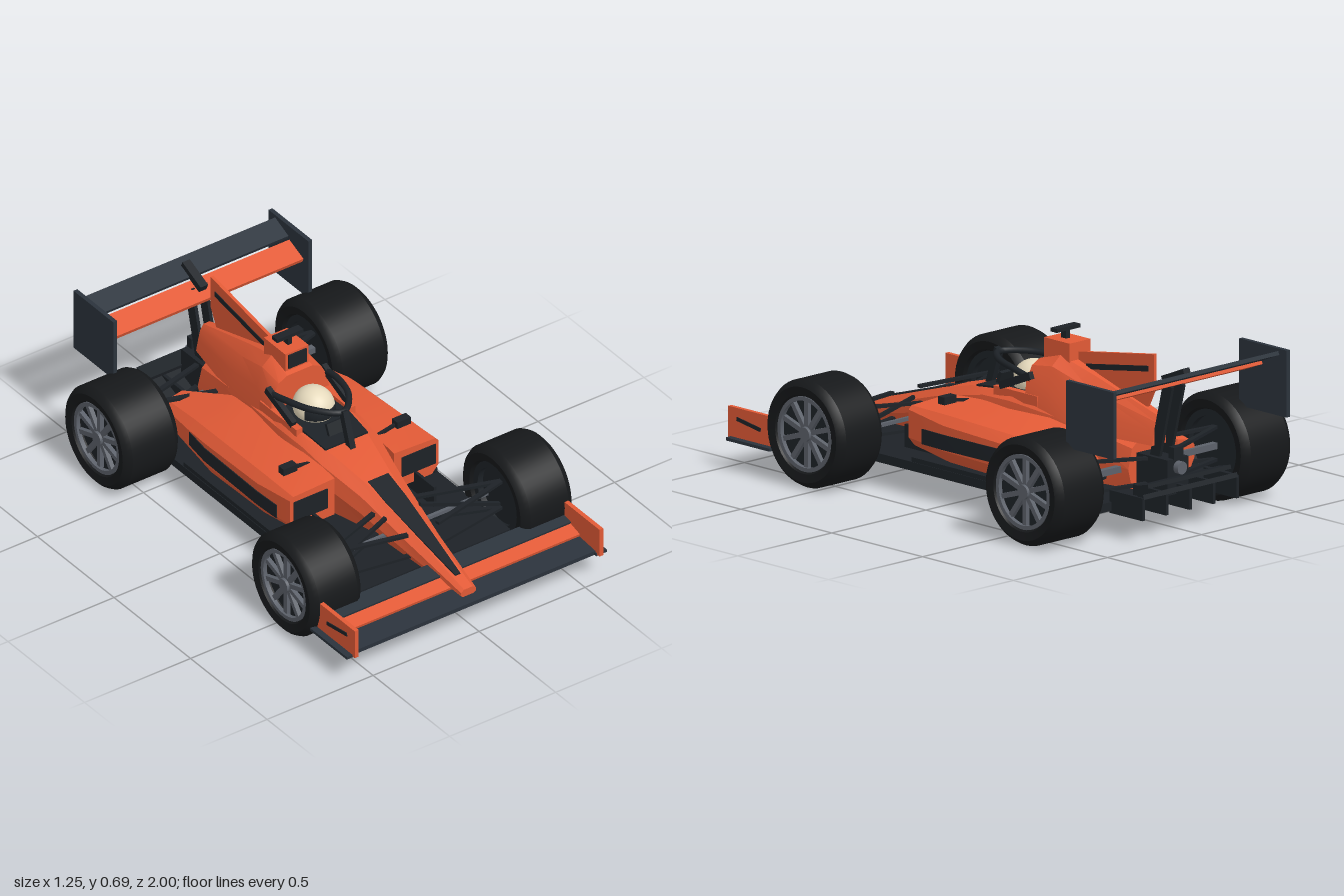
import * as THREE from 'three';
import { toCreasedNormals } from 'three/addons/utils/BufferGeometryUtils.js';

const mat = (color) => new THREE.MeshStandardMaterial({ color });

export function createModel() {
  const car = new THREE.Group();
  car.name = 'openWheelRaceCar';
  const orange = mat(0xe25a36), dark = mat(0x1d2227), slate = mat(0x2b333c);
  const rubber = mat(0x16181a), metal = mat(0x5c616a), cream = mat(0xe6dabd);

  const add = (name, geometry, material, x = 0, y = 0, z = 0, parent = car) => {
    const m = new THREE.Mesh(geometry, material);
    m.name = name;
    m.position.set(x, y, z);
    parent.add(m);
    return m;
  };
  const box = (name, material, [w, h, d], [x, y, z], tilt = 0) => {
    const m = add(name, new THREE.BoxGeometry(w, h, d), material, x, y, z);
    m.rotation.x = tilt;
    return m;
  };
  // Box beam from a to b
  const bar = (name, material, a, b, w, h = w) => {
    const p = new THREE.Vector3(...a), q = new THREE.Vector3(...b);
    const m = add(name, new THREE.BoxGeometry(w, h, p.distanceTo(q)), material);
    m.position.copy(p).lerp(q, 0.5);
    m.lookAt(q);
    return m;
  };
  // Skin over sections [z, [x, y]...], listed rear to front, counter-clockwise from the front
  const loft = (name, material, sections, crease = 0.4) => {
    const n = sections[0].length - 1, pos = [], idx = [];
    for (const [z, ...pts] of sections) for (const [x, y] of pts) pos.push(x, y, z);
    for (let i = 0; i < sections.length - 1; i++) for (let j = 0; j < n; j++) {
      const a = i * n + j, b = i * n + (j + 1) % n;
      idx.push(a, b, b + n, a, b + n, a + n);
    }
    const e = (sections.length - 1) * n;
    for (let k = 1; k < n - 1; k++) idx.push(0, k + 1, k, e, e + k, e + k + 1);
    const g = new THREE.BufferGeometry();
    g.setAttribute('position', new THREE.Float32BufferAttribute(pos, 3));
    g.setIndex(idx);
    return add(name, toCreasedNormals(g, crease), material);
  };
  const symmetric = ([z, ...h]) => [z, ...h, ...h.map(([x, y]) => [-x, y]).reverse()];
  const sided = (s, [z, ...p]) => [z, ...(s > 0 ? p : p.map(([x, y]) => [-x, y]).reverse())];

  // Central body and nose
  loft('tubAndNose', orange, [
    [-0.70, [0.08, 0.14], [0.10, 0.22], [0.08, 0.30], [0.04, 0.33]],
    [-0.45, [0.12, 0.14], [0.125, 0.25], [0.115, 0.35], [0.06, 0.37]],
    [-0.10, [0.15, 0.14], [0.165, 0.30], [0.155, 0.39], [0.13, 0.415]],
    [0.05, [0.15, 0.14], [0.17, 0.30], [0.15, 0.385], [0.12, 0.405]],
    [0.17, [0.12, 0.15], [0.155, 0.29], [0.14, 0.36], [0.09, 0.39]],
    [0.37, [0.07, 0.15], [0.115, 0.25], [0.10, 0.31], [0.055, 0.337]],
    [0.65, [0.045, 0.14], [0.07, 0.185], [0.065, 0.225], [0.035, 0.25]],
    [0.93, [0.02, 0.13], [0.035, 0.14], [0.035, 0.155], [0.02, 0.165]],
  ].map(symmetric));
  loft('nosePanel', dark, [
    [0.34, [0.048, 0.32], [0.048, 0.347]],
    [0.46, [0.055, 0.29], [0.045, 0.312]],
    [0.65, [0.032, 0.23], [0.030, 0.255]],
    [0.86, [0.014, 0.17], [0.012, 0.192]],
  ].map(symmetric));
  loft('engineCover', orange, [
    [-0.78, [0.05, 0.32], [0.04, 0.37], [0.03, 0.41], [0.015, 0.432]],
    [-0.45, [0.12, 0.33], [0.10, 0.42], [0.07, 0.49], [0.03, 0.53]],
    [-0.28, [0.14, 0.38], [0.125, 0.47], [0.10, 0.55], [0.055, 0.587]],
    [-0.17, [0.14, 0.40], [0.13, 0.48], [0.10, 0.535], [0.06, 0.555]],
  ].map(symmetric));

  // Dorsal fin, drawn in (-z, y) and thickened across x
  const plate = (name, material, pts, t) => {
    const g = new THREE.ExtrudeGeometry(new THREE.Shape(pts.map((p) => new THREE.Vector2(...p))),
      { depth: t, bevelEnabled: false });
    g.translate(0, 0, -t / 2).rotateY(Math.PI / 2);
    return add(name, g, material);
  };
  plate('dorsalFin', orange, [[0.30, 0.55], [0.70, 0.44], [0.745, 0.53], [0.745, 0.668], [0.32, 0.60]], 0.014);
  plate('finStripe', dark, [[0.375, 0.54], [0.715, 0.595], [0.715, 0.617], [0.375, 0.562]], 0.02);
  box('airbox', orange, [0.11, 0.085, 0.14], [0, 0.598, -0.26]);
  box('airboxIntake', dark, [0.085, 0.06, 0.01], [0, 0.602, -0.188]);
  box('cameraPost', dark, [0.02, 0.05, 0.03], [0, 0.655, -0.25]);
  box('cameraBar', dark, [0.125, 0.015, 0.035], [0, 0.68, -0.25]);

  // Cockpit and driver
  loft('cockpitOpening', dark, [
    [-0.17, [0.10, 0.38], [0.10, 0.421]],
    [0.0, [0.11, 0.38], [0.11, 0.418]],
    [0.135, [0.10, 0.36], [0.10, 0.402]],
  ].map(symmetric));
  add('helmet', new THREE.SphereGeometry(0.08, 32, 20), cream, 0, 0.445, -0.08).scale.z = 1.08;
  add('visor', new THREE.SphereGeometry(0.083, 24, 6, Math.PI * 0.15, Math.PI * 0.7, 1.3, 0.5),
    dark, 0, 0.445, -0.08).scale.z = 1.08;
  box('steeringWheel', dark, [0.09, 0.05, 0.015], [0, 0.43, 0.07], -0.4);

  // Halo guard
  const halo = new THREE.CatmullRomCurve3([[0.13, 0.49, -0.2], [0.125, 0.51, -0.1], [0.085, 0.52, 0.03],
    [0, 0.52, 0.11], [-0.085, 0.52, 0.03], [-0.125, 0.51, -0.1], [-0.13, 0.49, -0.2]]
    .map((p) => new THREE.Vector3(...p)));
  add('haloRing', new THREE.TubeGeometry(halo, 40, 0.013, 8), dark);
  bar('haloStrut', dark, [0, 0.38, 0.165], [0, 0.53, 0.115], 0.025, 0.03);

  // Floor, gearbox and diffuser
  box('floor', dark, [0.77, 0.035, 1.44], [0, 0.117, -0.05]);
  box('gearbox', dark, [0.11, 0.14, 0.24], [0, 0.21, -0.75]);
  box('diffuser', dark, [0.5, 0.02, 0.19], [0, 0.15, -0.85], 0.35);
  box('beamWing', dark, [0.44, 0.016, 0.07], [0, 0.21, -0.9], 0.25);
  for (const x of [-0.25, -0.125, 0, 0.125, 0.25]) box('diffuserStrake', dark, [0.014, 0.09, 0.18], [x, 0.135, -0.85]);
  add('exhaust', new THREE.CylinderGeometry(0.025, 0.025, 0.05, 20).rotateX(Math.PI / 2), metal, 0, 0.245, -0.87);
  box('rearLight', dark, [0.05, 0.05, 0.03], [0, 0.30, -0.86]);

  // Wings
  box('frontWingMain', slate, [1.16, 0.018, 0.115], [0, 0.125, 0.915], 0.08);
  box('frontWingMiddle', orange, [1.14, 0.014, 0.065], [0, 0.151, 0.838], 0.25);
  box('frontWingFlap', slate, [1.14, 0.012, 0.075], [0, 0.175, 0.775], 0.2);
  box('rearWingMain', orange, [0.9, 0.018, 0.1], [0, 0.56, -0.82], 0.38);
  box('rearWingFlap', slate, [0.9, 0.016, 0.095], [0, 0.612, -0.915], 0.4);
  box('flapActuator', dark, [0.035, 0.03, 0.13], [0, 0.605, -0.86], 0.4);

  // Wheel with axle along x; s points outward
  const wheel = (name, s, x, z, h) => {
    const g = new THREE.Group();
    g.name = name;
    g.position.set(s * x, 0.215, z);
    g.rotation.z = -s * Math.PI / 2;
    car.add(g);
    const lathe = (pts) => toCreasedNormals(
      new THREE.LatheGeometry(pts.map((p) => new THREE.Vector2(...p)), 48), 0.5);
    add('tyre', lathe([[0.147, -h + 0.02], [0.155, -h + 0.006], [0.188, -h], [0.203, -h + 0.012], [0.213, -h + 0.03],
      [0.213, h - 0.03], [0.203, h - 0.012], [0.188, h], [0.155, h - 0.006], [0.147, h - 0.02], [0.147, -h + 0.02]]),
    rubber, 0, 0, 0, g);
    add('rimRing', lathe([[0.132, h - 0.03], [0.148, h - 0.03], [0.148, h - 0.012], [0.132, h - 0.012], [0.132, h - 0.03]]),
      metal, 0, 0, 0, g);
    add('wheelDisc', new THREE.CylinderGeometry(0.147, 0.147, 2 * h - 0.09, 40), dark, 0, 0, 0, g);
    add('innerRim', lathe([[0.12, -h + 0.02], [0.148, -h + 0.02], [0.148, -h + 0.05], [0.12, -h + 0.05], [0.12, -h + 0.02]]),
      dark, 0, 0, 0, g);
    add('hub', new THREE.CylinderGeometry(0.028, 0.032, 0.04, 20), metal, 0, h - 0.03, 0, g);
    for (let i = 0; i < 10; i++) {
      const a = i * Math.PI / 5;
      add('spoke', new THREE.BoxGeometry(0.115, 0.018, 0.02), metal,
        Math.cos(a) * 0.08, h - 0.03, -Math.sin(a) * 0.08, g).rotation.y = a;
    }
  };

  for (const s of [1, -1]) {
    wheel('frontWheel', s, 0.4975, 0.56, 0.12);
    wheel('rearWheel', s, 0.495, -0.65, 0.13);

    // Sidepod with intake and side stripe
    loft('sidepod', orange, [
      [-0.65, [0.20, 0.14], [0.28, 0.15], [0.30, 0.19], [0.30, 0.24], [0.28, 0.26], [0.21, 0.275]],
      [-0.45, [0.12, 0.14], [0.30, 0.14], [0.335, 0.19], [0.335, 0.265], [0.30, 0.295], [0.12, 0.33]],
      [-0.30, [0.13, 0.14], [0.325, 0.14], [0.355, 0.19], [0.355, 0.285], [0.32, 0.32], [0.12, 0.36]],
      [0.05, [0.15, 0.14], [0.325, 0.15], [0.36, 0.20], [0.36, 0.30], [0.33, 0.335], [0.14, 0.37]],
      [0.25, [0.14, 0.18], [0.32, 0.18], [0.35, 0.215], [0.35, 0.325], [0.335, 0.34], [0.14, 0.348]],
    ].map((r) => sided(s, r)));
    loft('sidepodStripe', dark, [[-0.42, 0.342], [-0.30, 0.359], [0.05, 0.364], [0.17, 0.358]]
      .map(([z, x]) => sided(s, [z, [x - 0.02, 0.205], [x, 0.205], [x, 0.265], [x - 0.02, 0.265]])));
    box('sidepodIntake', dark, [0.16, 0.09, 0.01], [s * 0.255, 0.27, 0.249]);
    box('bargeBoard', dark, [0.012, 0.1, 0.2], [s * 0.24, 0.175, 0.28]);
    box('floorEdge', dark, [0.015, 0.025, 0.6], [s * 0.375, 0.14, -0.1]);

    // Mirrors and halo mounts
    box('mirror', dark, [0.065, 0.03, 0.035], [s * 0.268, 0.375, 0.122]);
    bar('mirrorStalk', dark, [s * 0.14, 0.35, 0.12], [s * 0.245, 0.37, 0.12], 0.012);
    bar('haloMount', dark, [s * 0.13, 0.435, -0.03], [s * 0.132, 0.505, -0.2], 0.022, 0.03);
    box('cockpitSide', orange, [0.03, 0.04, 0.24], [s * 0.125, 0.41, -0.12]);

    // Wing end plates and pillars
    box('frontEndPlate', orange, [0.018, 0.125, 0.245], [s * 0.577, 0.18, 0.877]);
    box('frontFootPlate', slate, [0.05, 0.012, 0.24], [s * 0.588, 0.119, 0.865]);
    bar('endPlateSlash', dark, [s * 0.587, 0.2, 0.95], [s * 0.587, 0.18, 0.82], 0.006, 0.015);
    box('rearEndPlate', slate, [0.018, 0.265, 0.26], [s * 0.46, 0.515, -0.87]);
    bar('rearWingPillar', dark, [s * 0.03, 0.2, -0.76], [s * 0.03, 0.57, -0.85], 0.014, 0.05);

    // Wishbones, push rods and drive shafts
    for (const dz of [-0.1, 0.1]) {
      bar('frontUpperArm', dark, [s * 0.07, 0.27, 0.53 + dz], [s * 0.42, 0.28, 0.56], 0.02, 0.012);
      bar('frontLowerArm', dark, [s * 0.06, 0.17, 0.53 + dz], [s * 0.42, 0.16, 0.56], 0.02, 0.012);
      bar('rearUpperArm', dark, [s * 0.06, 0.27, -0.66 + dz], [s * 0.42, 0.29, -0.65], 0.02, 0.012);
      bar('rearLowerArm', dark, [s * 0.06, 0.17, -0.66 + dz], [s * 0.42, 0.16, -0.65], 0.02, 0.012);
    }
    bar('frontPushRod', dark, [s * 0.08, 0.28, 0.5], [s * 0.42, 0.17, 0.55], 0.014);
    bar('steeringRod', metal, [s * 0.06, 0.2, 0.5], [s * 0.4, 0.2, 0.5], 0.014);
    bar('driveShaft', metal, [s * 0.05, 0.215, -0.65], [s * 0.42, 0.215, -0.65], 0.025);
  }
  return car;
}
